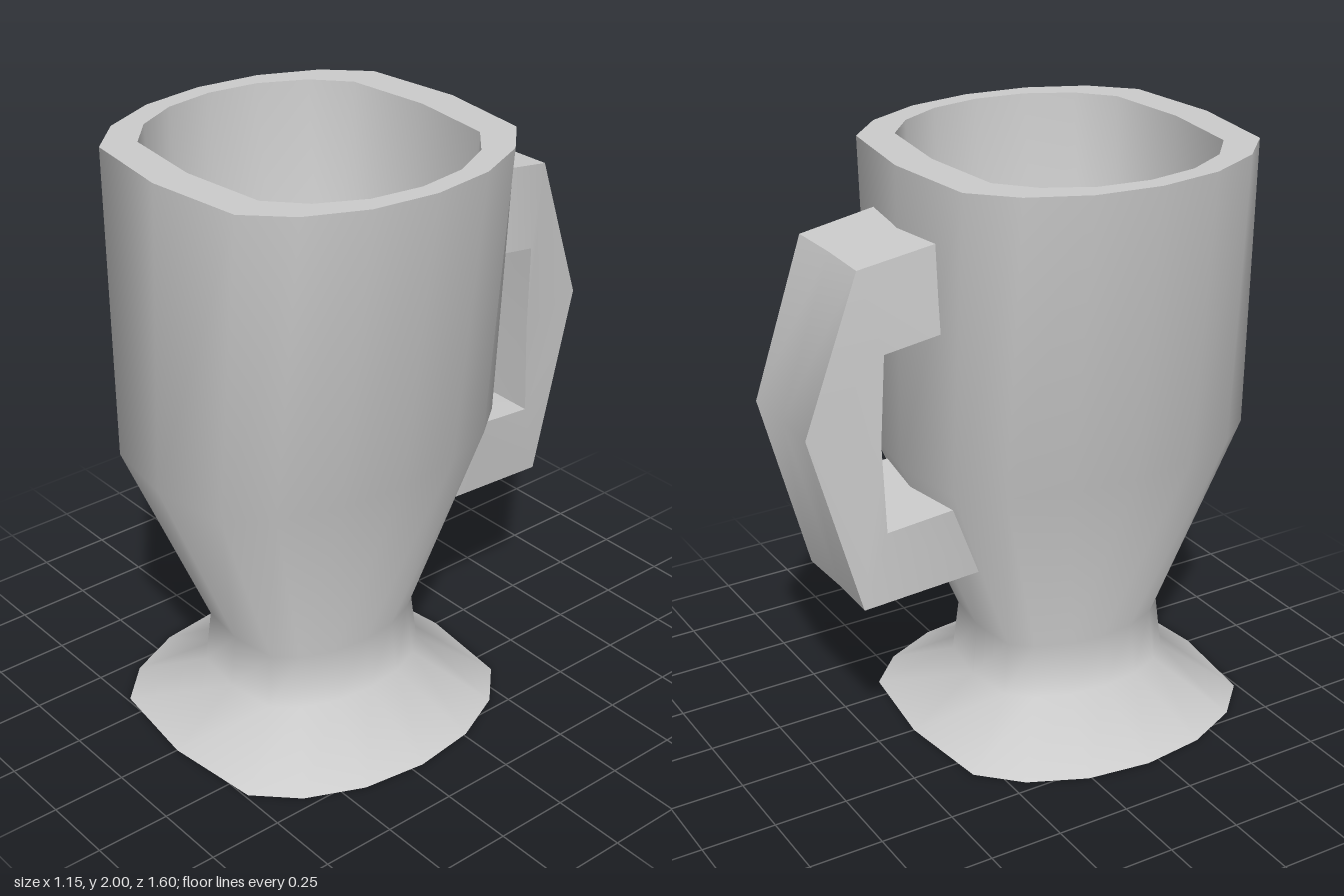
import * as THREE from 'three';
import { toCreasedNormals } from 'three/addons/utils/BufferGeometryUtils.js';

const material = new THREE.MeshStandardMaterial({ color: 0xcccccc, side: THREE.DoubleSide });

// Skin a surface over rings of equal point count, closing each end with a centre point.
function skin(name, rings, startPoint, endPoint, crease) {
  const n = rings[0].length;
  const positions = [...rings.flat(), startPoint, endPoint].flat();
  const start = rings.length * n, end = start + 1;
  const index = [];
  for (let k = 0; k < n; k++) {
    const next = (k + 1) % n;
    index.push(start, k, next);
    for (let r = 0; r < rings.length - 1; r++) {
      const a = r * n + k, b = r * n + next;
      index.push(a, a + n, b, b, a + n, b + n);
    }
    const last = (rings.length - 1) * n;
    index.push(last + k, end, last + next);
  }
  const geometry = new THREE.BufferGeometry();
  geometry.setAttribute('position', new THREE.Float32BufferAttribute(positions, 3));
  geometry.setIndex(index);
  const mesh = new THREE.Mesh(toCreasedNormals(geometry, crease), material);
  mesh.name = name;
  return mesh;
}

// Sixteen-sided unit outline, mirrored across x, with a shallow point at back and front.
const half = [[0, -1], [0.58, -0.93], [0.8, -0.71], [0.95, -0.38], [1, 0],
  [0.95, 0.38], [0.8, 0.71], [0.58, 0.93], [0, 1]];
const outline = [...half, ...half.slice(1, -1).reverse().map(([x, z]) => [-x, z])];

// One level of the cup: height, half width, back z, front z.
const level = ([y, w, back, front]) => outline.map(([x, z]) =>
  [x * w, y, (back + front) / 2 + z * (front - back) / 2]);

// Six-point handle section: outer and inner [z, y] with half widths.
const section = ([oz, oy, iz, iy, ow, iw]) => [
  [ow, oy, oz], [0, oy, oz + 0.005], [-ow, oy, oz],
  [-iw, iy, iz], [0, iy, iz - 0.005], [iw, iy, iz]];

export function createModel() {
  const group = new THREE.Group();
  group.name = 'footedMug';

  // Cup: hollow foot, waist, body, thick rim and inner wall in one skin
  const levels = [
    [0.12, 0.25, -0.07, 0.48],  // under the foot
    [0, 0.51, -0.3, 0.71],
    [0, 0.575, -0.365, 0.78],   // foot edge
    [0.155, 0.305, -0.135, 0.55],
    [0.34, 0.285, -0.115, 0.53], // waist
    [1, 0.46, -0.39, 0.8],      // shoulder
    [2, 0.575, -0.385, 0.76],   // outer rim
    [2, 0.51, -0.26, 0.64],     // inner rim
    [1, 0.4, -0.24, 0.64]       // inner wall
  ];
  group.add(skin('cup', levels.map(level), [0, 0.15, 0.2], [0, 0.45, 0.12], 1.2));

  // Handle: angular loop, both ends sunk into the cup wall
  const sections = [
    [-0.34, 1.812, -0.34, 1.53, 0.2, 0.22],
    [-0.62, 1.77, -0.55, 1.5, 0.19, 0.215],
    [-0.8, 1.26, -0.56, 1.2, 0.175, 0.2],
    [-0.63, 0.64, -0.555, 0.905, 0.19, 0.215],
    [-0.19, 0.67, -0.31, 0.928, 0.2, 0.22]
  ];
  group.add(skin('handle', sections.map(section), [0, 1.67, -0.34], [0, 0.8, -0.25], 1.0));

  return group;
}
